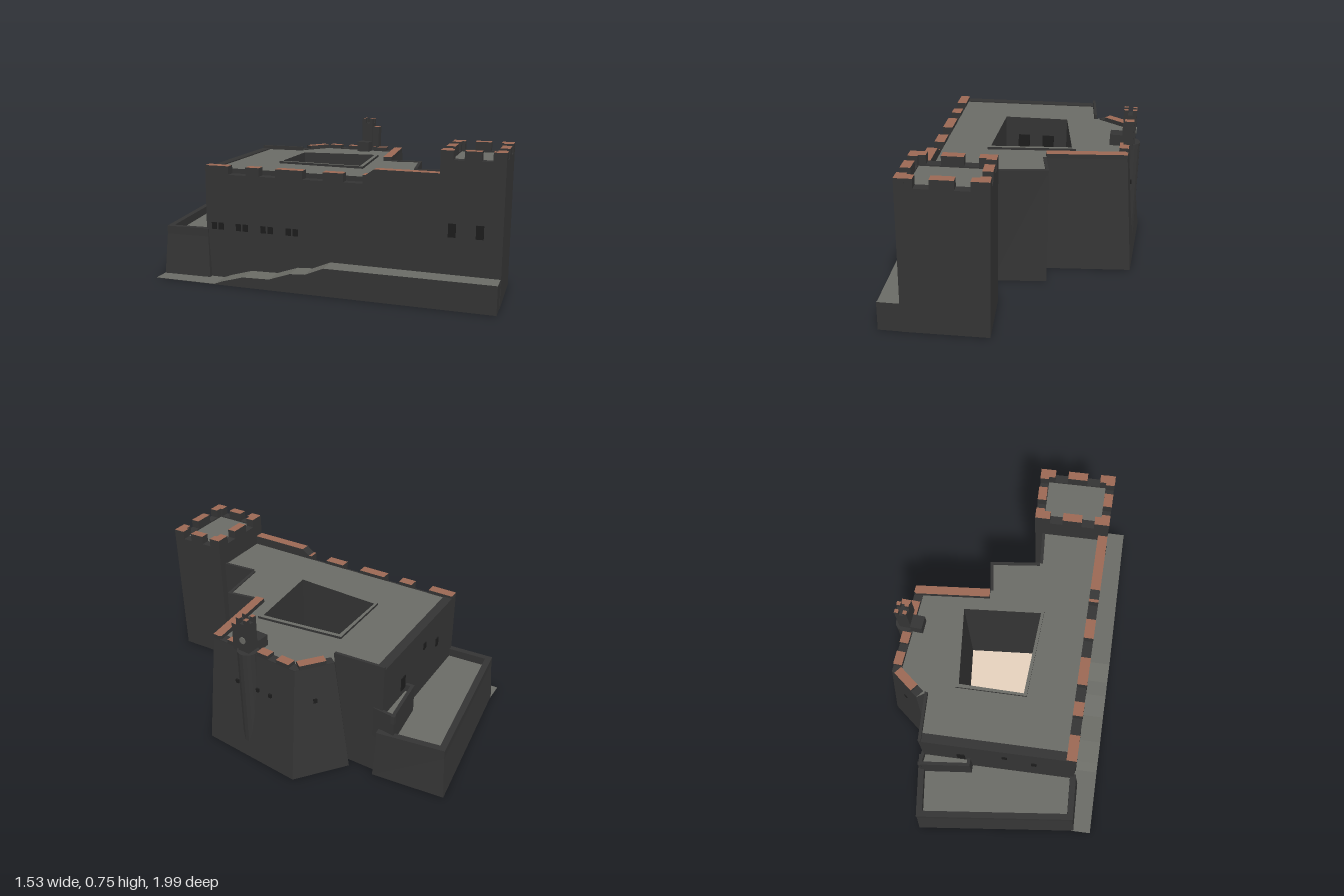
import * as THREE from 'three';

const mat = (name, color, opt = {}) => {
  const m = new THREE.MeshStandardMaterial({ color, flatShading: true, ...opt });
  m.name = name;
  return m;
};

export function createModel() {
  const both = { side: THREE.DoubleSide };
  const stone = mat('dark stone', 0x343434, both);
  const roof = mat('grey paving', 0x6a6b65, both);
  const brick = mat('brick coping', 0x9a6853, both);
  const sand = mat('courtyard sand', 0xe5d0bc, both);
  const dark = mat('window dark', 0x1c1c1c);
  const model = new THREE.Group();
  model.name = 'castle';

  const add = (geo, material, name, parent = model) => {
    const m = new THREE.Mesh(geo, material);
    m.name = name;
    parent.add(m);
    return m;
  };
  const lerp = (p, q, t) => [p[0] + (q[0] - p[0]) * t, p[1] + (q[1] - p[1]) * t];

  // Side walls between two outlines of [x, z] points, counterclockwise from above
  const sides = (base, top, y0, y1) => {
    const pos = [];
    base.forEach((b, i) => {
      const j = (i + 1) % base.length;
      const a = [b[0], y0, b[1]], c = [base[j][0], y0, base[j][1]];
      const d = [top[j][0], y1, top[j][1]], e = [top[i][0], y1, top[i][1]];
      pos.push(...a, ...c, ...d, ...a, ...d, ...e);
    });
    const g = new THREE.BufferGeometry();
    g.setAttribute('position', new THREE.Float32BufferAttribute(pos, 3));
    g.computeVertexNormals();
    return g;
  };
  const cap = (pts, y, hole) => {
    const flat = (l) => l.map(([x, z]) => new THREE.Vector2(x, -z));
    const s = new THREE.Shape(flat(pts));
    if (hole) s.holes.push(new THREE.Path(flat(hole)));
    return new THREE.ShapeGeometry(s).rotateX(-Math.PI / 2).translate(0, y, 0);
  };
  // Shell with a roof and an open underside
  const prism = (name, base, top, y0, y1, capMat, hole) => {
    const g = new THREE.Group();
    g.name = name;
    model.add(g);
    add(sides(base, top, y0, y1), stone, name + 'Sides', g);
    add(cap(top, y1, hole), capMat, name + 'Top', g);
    if (hole) {
      const inner = [...hole].reverse();
      add(sides(inner, inner, y0, y1), stone, name + 'InnerSides', g);
    }
  };

  // Straight wall from p to q, thickened toward the inside
  const strip = (p, q, thick) => {
    const dx = q[0] - p[0], dz = q[1] - p[1], k = thick / Math.hypot(dx, dz);
    const o = [dz * k, -dx * k];
    return [p, q, [q[0] + o[0], q[1] + o[1]], [p[0] + o[0], p[1] + o[1]]];
  };
  const wall = (name, p, q, thick, y0, y1, capMat, topStart = p) =>
    prism(name, strip(p, q, thick), strip(topStart, q, thick), y0, y1, capMat);
  // Low run with brick-topped merlons standing between the gaps
  const battlement = (name, p, q, thick, y0, yGap, yTop, gaps) => {
    wall(name + 'Run', p, q, thick, y0, yGap, stone);
    let from = 0;
    [...gaps, [1, 1]].forEach(([a, b]) => {
      if (a > from) wall(name + 'Merlon', lerp(p, q, from), lerp(p, q, a), thick, yGap, yTop, brick);
      from = b;
    });
  };
  // Thin plate on the outer face of the wall from p to q
  const plate = (name, p, q, t, y, w, h) => {
    const [x, z] = lerp(p, q, t);
    const m = add(new THREE.BoxGeometry(w, h, 0.009), dark, name);
    m.position.set(x, y, z);
    m.rotation.y = Math.atan2(-(q[1] - p[1]), q[0] - p[0]);
  };

  // Keep with the open courtyard
  const ROOF = 0.57;
  const court = [[-0.1, -0.2], [0.155, 0.155], [0.44, -0.115], [0.155, -0.4]];
  const keepTop = [[-0.486, -0.281], [0.29, 0.7], [0.51, 0.5], [0.37, 0.35], [0.55, 0.165], [0.43, 0.055],
    [0.705, -0.21], [0.435, -0.597], [0.25, -0.597], [0.235, -0.55], [0.07, -0.735]];
  const keepBase = [[-0.486, -0.281], [0.29, 0.7], [0.51, 0.5], [0.372, 0.352], [0.555, 0.167], [0.455, 0.09],
    [0.765, -0.21], [0.48, -0.65], [0.2, -0.65], [0.2, -0.59], [0.08, -0.745]];
  prism('keep', keepBase, keepTop, 0, ROOF, roof, court);
  add(cap(court, 0.004), sand, 'courtyardFloor');
  for (const t of [0.3, 0.7]) plate('courtyardOpening', court[0], court[3], t, 0.42, 0.06, 0.13);

  // Raised kerb round the courtyard
  const kerb = [[-0.12, -0.2], [0.155, 0.18], [0.467, -0.115], [0.157, -0.425]];
  prism('courtyardKerb', kerb, kerb, ROOF - 0.01, ROOF + 0.012, roof, court);

  // Front wall: stretch with merlons, then the raised stretch by the tower
  const F = [-0.525, -0.25], T = [0.225, 0.697];
  const along = (x) => (x - F[0]) / (T[0] - F[0]);
  const M = lerp(F, T, along(0.005));
  const fr = (x) => (x - F[0]) / (M[0] - F[0]);
  battlement('frontWall', F, M, 0.05, 0, 0.545, 0.588,
    [[-0.445, -0.385], [-0.34, -0.285], [-0.195, -0.13], [-0.065, -0.005]].map(([a, b]) => [fr(a), fr(b)]));
  wall('raisedWall', M, T, 0.05, 0, 0.588, brick);
  wall('raisedWallTop', M, T, 0.05, 0.588, 0.617, brick, lerp(F, T, along(0.03)));
  for (const x of [-0.485, -0.4, -0.315, -0.23])
    for (const s of [-0.012, 0.012]) plate('frontLoophole', F, T, along(x + s), 0.275, 0.028, 0.036);

  // Tower
  const tower = [T, [0.41, 0.93], [0.71, 0.68], [0.52, 0.455]];
  prism('tower', tower, tower, 0, 0.675, roof);
  tower.forEach((p, i) => battlement('tower', p, tower[(i + 1) % 4], 0.045, 0.675, 0.682, 0.725,
    [[0.2, 0.37], [0.63, 0.8]]));
  for (const x of [0.265, 0.345]) plate('towerWindow', T, tower[1], (x - 0.225) / 0.185, 0.353, 0.036, 0.065);

  // Back wall edge and the short return beside it
  const backA = [0.07, -0.735];
  wall('backWall', backA, F, 0.045, 0, ROOF + 0.006, stone);
  wall('backReturnParapet', [0.235, -0.55], backA, 0.014, ROOF - 0.02, 0.592, stone);
  plate('backWindow', backA, F, 0.54, 0.47, 0.025, 0.035);
  plate('backWindow', backA, F, 0.73, 0.41, 0.025, 0.045);
  plate('backDoor', backA, F, 0.25, 0.39, 0.04, 0.07);

  // Low kerbs on the stepped side of the roof
  for (const i of [2, 3, 4]) wall('sideKerb', keepTop[i], keepTop[i + 1], 0.015, ROOF - 0.02, ROOF + 0.006, stone);

  // Bastion parapets
  const [b0, b1, b2, b3] = keepTop.slice(5, 9);
  wall('bastionCoping', b0, b1, 0.045, ROOF - 0.01, 0.592, brick);
  battlement('bastionEast', b1, b2, 0.045, ROOF - 0.01, 0.574, 0.592, [[0.08, 0.18], [0.35, 0.55], [0.68, 0.78], [0.93, 1]]);
  battlement('bastionBack', b2, b3, 0.045, ROOF - 0.01, 0.574, 0.592, [[0, 0.12], [0.8, 1]]);
  const eastP = [0.725, -0.21], eastQ = [0.45, -0.615];
  for (const t of [0.32, 0.57, 0.72]) plate('bastionWindow', eastP, eastQ, t, 0.395, 0.015, 0.018);
  plate('bastionWindow', [0.45, -0.613], [0.235, -0.613], 0.47, 0.4, 0.018, 0.022);

  // Lookout turret: a round shaft that sinks into the sloping wall
  add(new THREE.CylinderGeometry(0.05, 0.05, 0.5, 16), stone, 'turretShaft').position.set(0.586, 0.335, -0.38);
  const turret = new THREE.Group();
  turret.name = 'turret';
  turret.position.set(0.583, 0, -0.373);
  turret.rotation.y = Math.atan2(0.385, -0.27); // local z points out of the wall
  model.add(turret);
  const box = (w, h, d, x, y, z, m, name) => add(new THREE.BoxGeometry(w, h, d), m, name, turret).position.set(x, y, z);
  const bricked = [stone, stone, brick, stone, stone, stone];
  box(0.062, 0.155, 0.062, 0, 0.652, 0, stone, 'turretBody');
  for (const x of [-0.021, 0.021]) for (const z of [-0.021, 0.021])
    box(0.02, 0.026, 0.02, x, 0.742, z, bricked, 'turretMerlon');
  box(0.036, 0.14, 0.045, -0.049, 0.64, 0, bricked, 'turretShoulder');
  box(0.07, 0.06, 0.06, 0.005, 0.595, -0.061, stone, 'turretStair');
  const eye = add(new THREE.CylinderGeometry(0.017, 0.017, 0.006, 12), roof, 'turretRoundWindow', turret);
  eye.rotation.x = Math.PI / 2;
  eye.position.set(0, 0.645, 0.032);

  // Lower terrace behind the keep
  const terBase = [[-0.7, -0.41], [-0.53, -0.215], [0.12, -0.745], [-0.125, -0.998]];
  const terTop = [[-0.68, -0.408], [-0.525, -0.235], [0.11, -0.755], [-0.125, -0.975]];
  prism('terrace', terBase, terTop, 0, 0.215, roof);
  for (const i of [0, 2, 3]) wall('terraceParapet', terTop[i], terTop[(i + 1) % 4], 0.03, 0.205, 0.257, stone);

  // Small annex on the terrace
  const annex = [[-0.14, -0.615], [-0.085, -0.55], [0.105, -0.705], [0.045, -0.8]];
  prism('annex', annex, annex, 0.2, 0.325, roof);
  for (const i of [0, 2, 3]) wall('annexParapet', annex[i], annex[(i + 1) % 4], 0.016, 0.32, 0.362, stone);

  // Stepped ramp along the front, widening slightly to follow the wall
  const profile = [[0.33, 0.14], [-0.19, 0.14], [-0.25, 0.1], [-0.3, 0.095], [-0.37, 0.056], [-0.46, 0.052],
    [-0.53, 0.02], [-0.56, 0.002], [-0.77, 0.002], [-0.77, 0], [0.33, 0]];
  const rampShape = new THREE.Shape(profile.map(([x, y]) => new THREE.Vector2((0.33 - x) / 0.633, y)));
  const rampGeo = new THREE.ExtrudeGeometry(rampShape, { depth: 1, bevelEnabled: false });
  const rp = rampGeo.attributes.position;
  for (let i = 0; i < rp.count; i++) rp.setZ(i, rp.getZ(i) * (0.102 + 0.015 * rp.getX(i)));
  rampGeo.computeVertexNormals();
  const ramp = add(rampGeo, [stone, roof], 'ramp');
  ramp.applyMatrix4(new THREE.Matrix4().makeBasis(new THREE.Vector3(-0.633, 0, -0.774),
    new THREE.Vector3(0, 1, 0), new THREE.Vector3(0.774, 0, -0.633)).setPosition(0.33, 0, 0.99));
  wall('rampEnd', [0.329, 0.993], [0.411, 0.927], 0.006, 0, 0.14, roof);

  return model;
}
